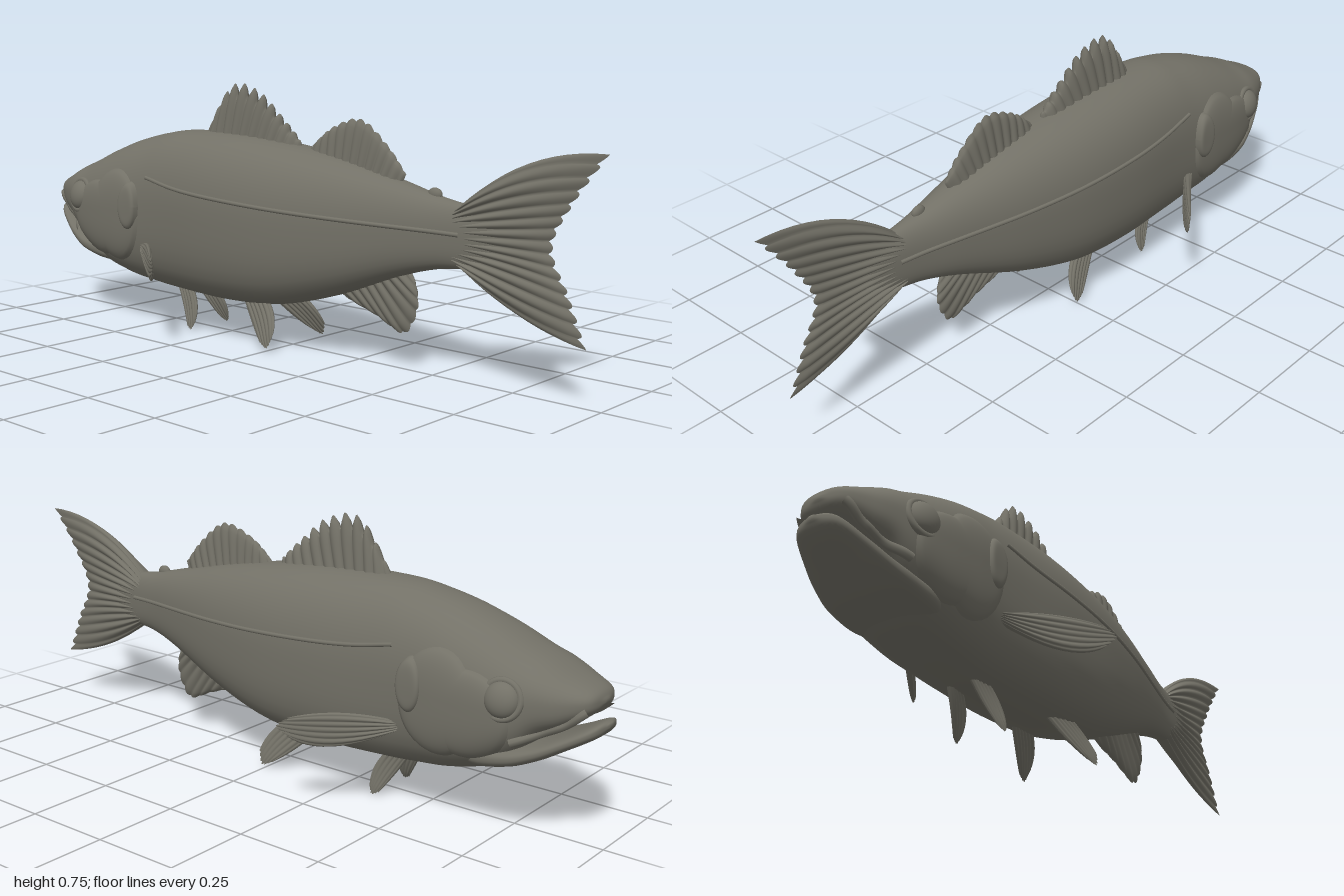
import * as THREE from 'three';

const skin = new THREE.MeshStandardMaterial({ color: 0x737167 });
skin.name = 'olive grey skin';

const V = (p) => new THREE.Vector3(p[0], p[1], p[2] || 0);
const spline = (pts) => new THREE.CatmullRomCurve3(pts.map(V), false, 'catmullrom');

// Stations: [x, top, bottom, half width]
const BODY = [
  [-0.985, 0.395, 0.385, 0.012], [-0.968, 0.418, 0.36, 0.068], [-0.91, 0.444, 0.318, 0.11],
  [-0.85, 0.472, 0.283, 0.135], [-0.79, 0.495, 0.22, 0.15], [-0.7, 0.533, 0.168, 0.162],
  [-0.6, 0.567, 0.14, 0.166], [-0.5, 0.59, 0.127, 0.164], [-0.4, 0.603, 0.119, 0.166],
  [-0.2, 0.602, 0.114, 0.174], [0, 0.586, 0.128, 0.164], [0.2, 0.555, 0.182, 0.13],
  [0.4, 0.51, 0.258, 0.08], [0.52, 0.481, 0.292, 0.05], [0.62, 0.465, 0.305, 0.032],
  [0.7, 0.45, 0.33, 0.018], [0.74, 0.40, 0.38, 0.004],
];
const JAW = [
  [-1, 0.336, 0.324, 0.012], [-0.978, 0.337, 0.298, 0.065], [-0.91, 0.303, 0.256, 0.1],
  [-0.85, 0.277, 0.222, 0.121], [-0.78, 0.26, 0.194, 0.136], [-0.68, 0.25, 0.175, 0.13],
  [-0.6, 0.23, 0.19, 0.06],
];

// Smooth interpolation of the stations by fractional index
function sampler(stations) {
  const edges = spline(stations.map((s) => [s[0], s[1], s[2]]));
  const widths = spline(stations.map((s) => [s[0], s[3], 0]));
  return (t) => {
    const a = edges.getPoint(t), b = widths.getPoint(t);
    return { x: a.x, c: (a.y + a.z) / 2, h: (a.y - a.z) / 2, w: b.y };
  };
}
const power = (v) => (v > 0 ? 2.3 : 3);

function gridGeometry(nu, nv, pointAt, flip = false) {
  const pos = [], idx = [];
  for (let i = 0; i <= nu; i++) for (let j = 0; j <= nv; j++) pos.push(...pointAt(i / nu, j / nv));
  for (let i = 0; i < nu; i++) for (let j = 0; j < nv; j++) {
    const a = i * (nv + 1) + j, b = a + nv + 1;
    if (flip) idx.push(a, a + 1, b, b, a + 1, b + 1);
    else idx.push(a, b, a + 1, b, b + 1, a + 1);
  }
  const g = new THREE.BufferGeometry();
  g.setAttribute('position', new THREE.Float32BufferAttribute(pos, 3));
  g.setIndex(idx);
  g.computeVertexNormals();
  return g;
}

// Rounded-box cross-sections lofted along x, closed at both ends
function loft(stations, steps) {
  const at = sampler(stations);
  return gridGeometry(steps + 2, 48, (u, v) => {
    const k = Math.round(u * (steps + 2));
    const s = at(Math.min(Math.max(k - 1, 0), steps) / steps);
    const cap = k === 0 || k === steps + 2 ? 0 : 1;
    const a = v * Math.PI * 2 - Math.PI / 2, cy = Math.sin(a), cz = Math.cos(a), p = power(cy);
    const r = cap / Math.pow(Math.abs(cy) ** p + Math.abs(cz) ** p, 1 / p);
    return [s.x, s.c + s.h * r * cy, s.w * r * cz];
  });
}

// Half width of the body at a given x, y
const bodyAt = sampler(BODY);
function sideZ(x, y) {
  let lo = 0, hi = 1;
  for (let i = 0; i < 24; i++) {
    const m = (lo + hi) / 2;
    if (bodyAt(m).x < x) lo = m; else hi = m;
  }
  const s = bodyAt(lo), v = THREE.MathUtils.clamp((y - s.c) / s.h, -1, 1), p = power(v);
  return s.w * Math.pow(1 - Math.abs(v) ** p, 1 / p);
}

// Raised oval plate lying on the flank
function plate(cx, cy, rx, ry, lift, side) {
  return gridGeometry(14, 40, (u, v) => {
    const a = v * Math.PI * 2, x = cx + rx * u * Math.cos(a), y = cy + ry * u * Math.sin(a);
    return [x, y, side * (sideZ(x, y) - 0.004 + (lift + 0.004) * Math.sqrt(1 - u ** 8))];
  }, side < 0);
}

// Thin ridge following the flank
function ridge(points, radius, side) {
  const path = spline(points).getPoints(40).map((p) => [p.x, p.y, side * sideZ(p.x, p.y)]);
  return new THREE.TubeGeometry(spline(path), 80, radius, 8);
}

// Fin: rays run from root through mid to margin; both faces taper to the edge
function fin({ root, mid, margin, thick = [0.02, 0.008], rays = 8, spike = 0.03 }, side = 1) {
  const turn = (pts) => pts.map(([x, y, z = 0]) => [x, y, z * side]);
  const R = spline(turn(root)), E = spline(turn(margin));
  const M = mid && spline(turn(mid));
  const out = E.getPoint(0.5).sub(R.getPoint(0.5));
  const n = R.getPoint(1).sub(R.getPoint(0)).cross(out).normalize();
  const face = (sign) => gridGeometry(rays * 8, 12, (t, s) => {
    const a = R.getPoint(t), b = E.getPoint(t);
    const ray = Math.abs(Math.cos(Math.PI * rays * t));
    const p = a.clone().lerp(b, s);
    if (M) p.addScaledVector(M.getPoint(t).sub(a.clone().lerp(b, 0.5)), 4 * s * (1 - s));
    p.addScaledVector(b.clone().sub(a), spike * (ray - 1) * s * s);
    const edge = Math.min(1, Math.sqrt(Math.max(0, t * (1 - t))) * 3) * Math.sqrt(1 - s ** 6);
    const th = THREE.MathUtils.lerp(thick[0], thick[1], s) * edge * (0.65 + 0.35 * ray);
    return p.addScaledVector(n, sign * th).toArray();
  }, sign < 0);
  return [face(1), face(-1)];
}

export function createModel() {
  const fish = new THREE.Group();
  fish.name = 'fish';
  const add = (name, ...geometries) => {
    const part = new THREE.Group();
    part.name = name;
    for (const g of geometries) {
      const m = new THREE.Mesh(g, skin);
      m.name = name + 'Surface';
      part.add(m);
    }
    fish.add(part);
    return part;
  };

  add('body', loft(BODY, 96));
  add('lowerJaw', loft(JAW, 36));

  // Fins on the centre line
  add('spinyDorsalFin', ...fin({
    root: [[-0.35, 0.59], [-0.26, 0.59], [-0.17, 0.585], [-0.07, 0.58], [0.03, 0.57]],
    margin: [[-0.33, 0.63], [-0.24, 0.745], [-0.13, 0.73], [-0.04, 0.66], [0.03, 0.595]],
    thick: [0.027, 0.014], rays: 11, spike: 0.28,
  }));
  add('softDorsalFin', ...fin({
    root: [[0.06, 0.565], [0.15, 0.55], [0.23, 0.535], [0.31, 0.52], [0.39, 0.5]],
    margin: [[0.08, 0.59], [0.15, 0.642], [0.25, 0.668], [0.34, 0.605], [0.405, 0.53]],
    thick: [0.022, 0.012], rays: 12, spike: 0.07,
  }));
  add('analFin', ...fin({
    root: [[0.17, 0.19], [0.24, 0.21], [0.3, 0.235], [0.36, 0.255], [0.42, 0.275]],
    margin: [[0.21, 0.168], [0.31, 0.135], [0.405, 0.1], [0.45, 0.175], [0.44, 0.25]],
    thick: [0.024, 0.01], rays: 9, spike: 0.05,
  }));
  add('tailFin', ...fin({
    root: [[0.58, 0.46], [0.58, 0.43], [0.58, 0.385], [0.58, 0.34], [0.58, 0.31]],
    mid: [[0.78, 0.585], [0.74, 0.47], [0.73, 0.385], [0.74, 0.31], [0.76, 0.205]],
    margin: [[1, 0.622], [0.91, 0.5], [0.855, 0.385], [0.905, 0.27], [0.955, 0.148]],
    thick: [0.036, 0.009], rays: 14, spike: 0.05,
  }));
  const bump = new THREE.SphereGeometry(1, 16, 10);
  bump.scale(0.022, 0.018, 0.012);
  bump.translate(0.5, 0.485, 0);
  add('backBump', bump);

  // Paired parts
  for (const side of [1, -1]) {
    const tag = side > 0 ? 'left' : 'right';
    add(tag + 'PectoralFin', ...fin({
      root: [[-0.48, 0.262, 0.145], [-0.48, 0.25, 0.147], [-0.475, 0.235, 0.15]],
      mid: [[-0.36, 0.282, 0.235], [-0.35, 0.235, 0.24], [-0.34, 0.187, 0.245]],
      margin: [[-0.255, 0.268, 0.32], [-0.228, 0.245, 0.336], [-0.25, 0.215, 0.318]],
      thick: [0.013, 0.006], rays: 6,
    }, side));
    add(tag + 'PelvicFin', ...fin({
      root: [[-0.45, 0.135, 0.035], [-0.42, 0.135, 0.038], [-0.385, 0.135, 0.042]],
      mid: [[-0.41, 0.07, 0.05], [-0.38, 0.075, 0.053], [-0.345, 0.08, 0.056]],
      margin: [[-0.37, 0.012, 0.073], [-0.35, 0.004, 0.078], [-0.34, 0.022, 0.073]],
      thick: [0.012, 0.006], rays: 5,
    }, side));
    add(tag + 'RearPelvicFin', ...fin({
      root: [[-0.15, 0.135, 0.05], [-0.1, 0.14, 0.058], [-0.04, 0.145, 0.066]],
      mid: [[-0.085, 0.07, 0.082], [-0.04, 0.085, 0.086], [0.005, 0.1, 0.086]],
      margin: [[-0.025, 0.025, 0.113], [0.008, 0.014, 0.12], [0.023, 0.05, 0.112]],
      thick: [0.013, 0.006], rays: 6,
    }, side));

    // Head relief
    add(tag + 'GillCover', plate(-0.6, 0.34, 0.115, 0.145, 0.012, side));
    add(tag + 'Cheek', plate(-0.68, 0.325, 0.125, 0.12, 0.012, side));
    add(tag + 'ShoulderLobe', plate(-0.525, 0.375, 0.04, 0.075, 0.021, side));
    add(tag + 'UpperLip', ridge([[-0.965, 0.372], [-0.92, 0.335], [-0.86, 0.303], [-0.8, 0.275]], 0.012, side));
    add(tag + 'LateralLine', ridge([[-0.46, 0.465], [-0.3, 0.44], [0, 0.42], [0.3, 0.405], [0.6, 0.393]], 0.006, side));

    // Eye with its socket rim
    const z = side * (sideZ(-0.78, 0.385) - 0.004);
    const ball = new THREE.SphereGeometry(0.046, 28, 18);
    ball.scale(1, 1, 0.65);
    const rim = new THREE.TorusGeometry(0.048, 0.009, 10, 36);
    const eye = add(tag + 'Eye', ball, rim);
    eye.position.set(-0.78, 0.385, z);
    eye.rotation.set(-side * 0.2, -side * 0.15, 0);
  }
  return fish;
}
